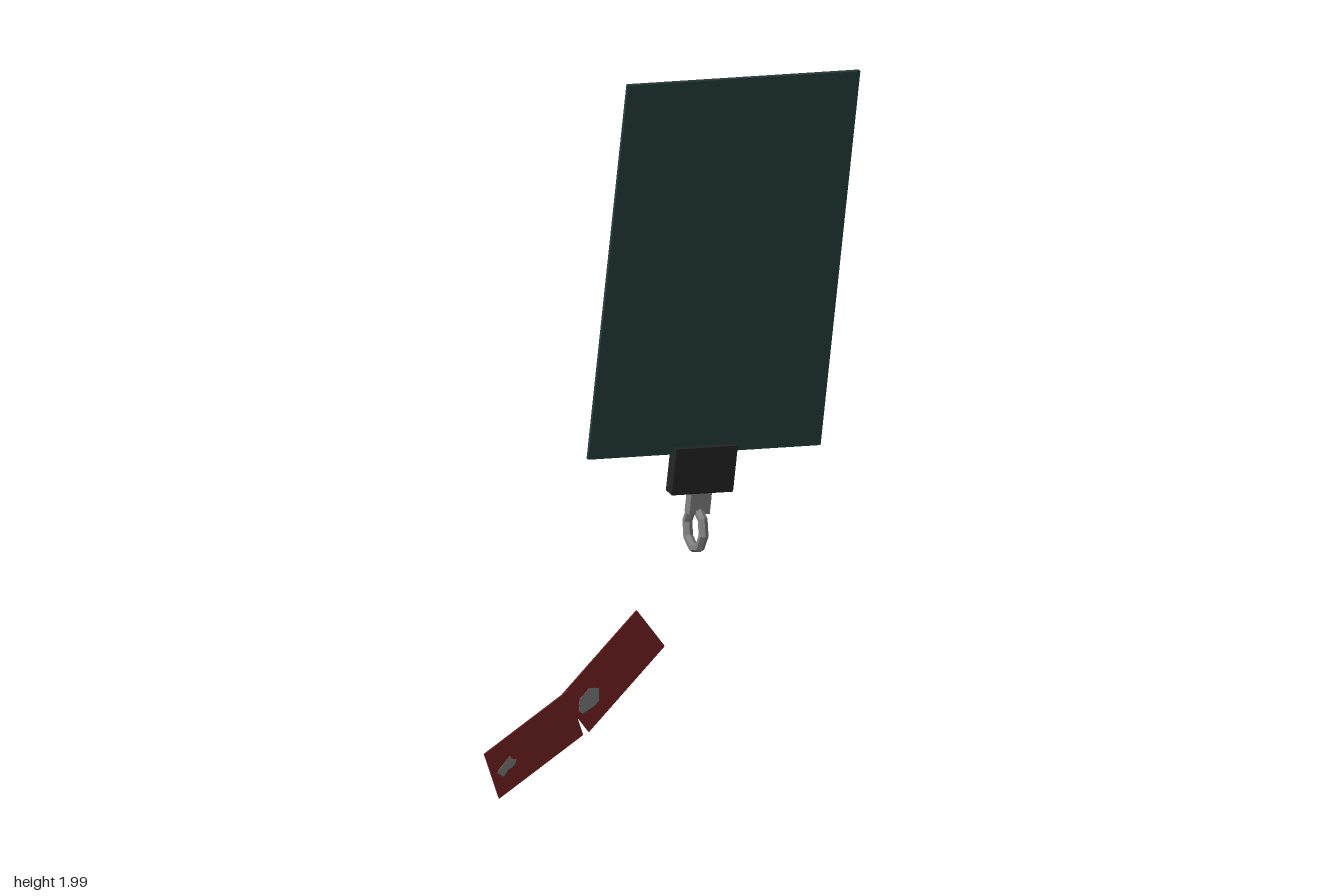
import * as THREE from 'three';

const mat = (name, color) => {
  const m = new THREE.MeshStandardMaterial({ color });
  m.name = name;
  return m;
};

// Group whose local x and y axes follow the given directions
function tiltedGroup(name, centre, xDir, yDir) {
  const x = new THREE.Vector3(...xDir).normalize();
  const z = x.clone().cross(new THREE.Vector3(...yDir)).normalize();
  const y = z.clone().cross(x);
  const g = new THREE.Group();
  g.name = name;
  g.quaternion.setFromRotationMatrix(new THREE.Matrix4().makeBasis(x, y, z));
  g.position.set(...centre);
  return g;
}

function add(parent, name, geometry, material, x = 0, y = 0, z = 0) {
  const mesh = new THREE.Mesh(geometry, material);
  mesh.name = name;
  mesh.position.set(x, y, z);
  parent.add(mesh);
  return mesh;
}

// Thin worn spot that shows on both faces of a strap
function wornSpot(length, height, radii) {
  const pts = radii.map((r, i) => {
    const a = (i / radii.length) * Math.PI * 2;
    return new THREE.Vector2(Math.cos(a) * r * length / 2, Math.sin(a) * r * height / 2);
  });
  return new THREE.ExtrudeGeometry(new THREE.Shape(pts), { depth: 0.006, bevelEnabled: false })
    .translate(0, 0, -0.003);
}

export function createModel() {
  const model = new THREE.Group();
  model.name = 'tagWithStraps';
  const teal = mat('dark teal', 0x263b3b);
  const black = mat('black', 0x252424);
  const steel = mat('steel grey', 0x808080);
  const red = mat('dark red', 0x792323);

  // Large panel with its clip and hanging ring
  const tag = tiltedGroup('tag', [0.178, 1.407, -0.146], [0.69, -0.07, -0.127], [0.115, 1.115, 0]);
  model.add(tag);
  add(tag, 'panel', new THREE.BoxGeometry(0.705, 1.121, 0.012), teal);
  add(tag, 'clip', new THREE.BoxGeometry(0.186, 0.138, 0.042), black, 0, -0.609);
  add(tag, 'shank', new THREE.BoxGeometry(0.062, 0.075, 0.034), steel, 0, -0.705);
  const ringGeo = new THREE.TorusGeometry(0.058, 0.014, 6, 8).toNonIndexed();
  ringGeo.computeVertexNormals();
  const ring = add(tag, 'ring', ringGeo, steel, 0, -0.79);
  ring.rotation.set(0, Math.PI / 2, 0);

  // Two flat straps meeting at an angle
  const straps = [
    { name: 'lowerStrap', centre: [-0.425, 0.13, 0.13], x: [0.275, 0.105, -0.155], y: [-0.045, 0.145, 0.015],
      size: [0.074, 0.046], radii: [1, 0.8, 1.1, 0.7, 0.6, 0.8, 1, 0.9, 1.1, 0.5, 0.7, 0.9] },
    { name: 'upperStrap', centre: [-0.169, 0.272, -0.007], x: [0.24, 0.185, -0.12], y: [-0.09, 0.12, 0.025],
      size: [0.09, 0.06], radii: [1, 0.9, 1, 0.85, 1, 0.8, 0.95, 1, 0.8, 0.9, 1.05, 0.85] },
  ];
  for (const s of straps) {
    const g = tiltedGroup(s.name, s.centre, s.x, s.y);
    add(g, 'strap', new THREE.BoxGeometry(0.33, 0.152, 0.004), red);
    add(g, 'wornSpot', wornSpot(...s.size, s.radii), steel, -0.108, -0.003);
    model.add(g);
  }
  return model;
}
